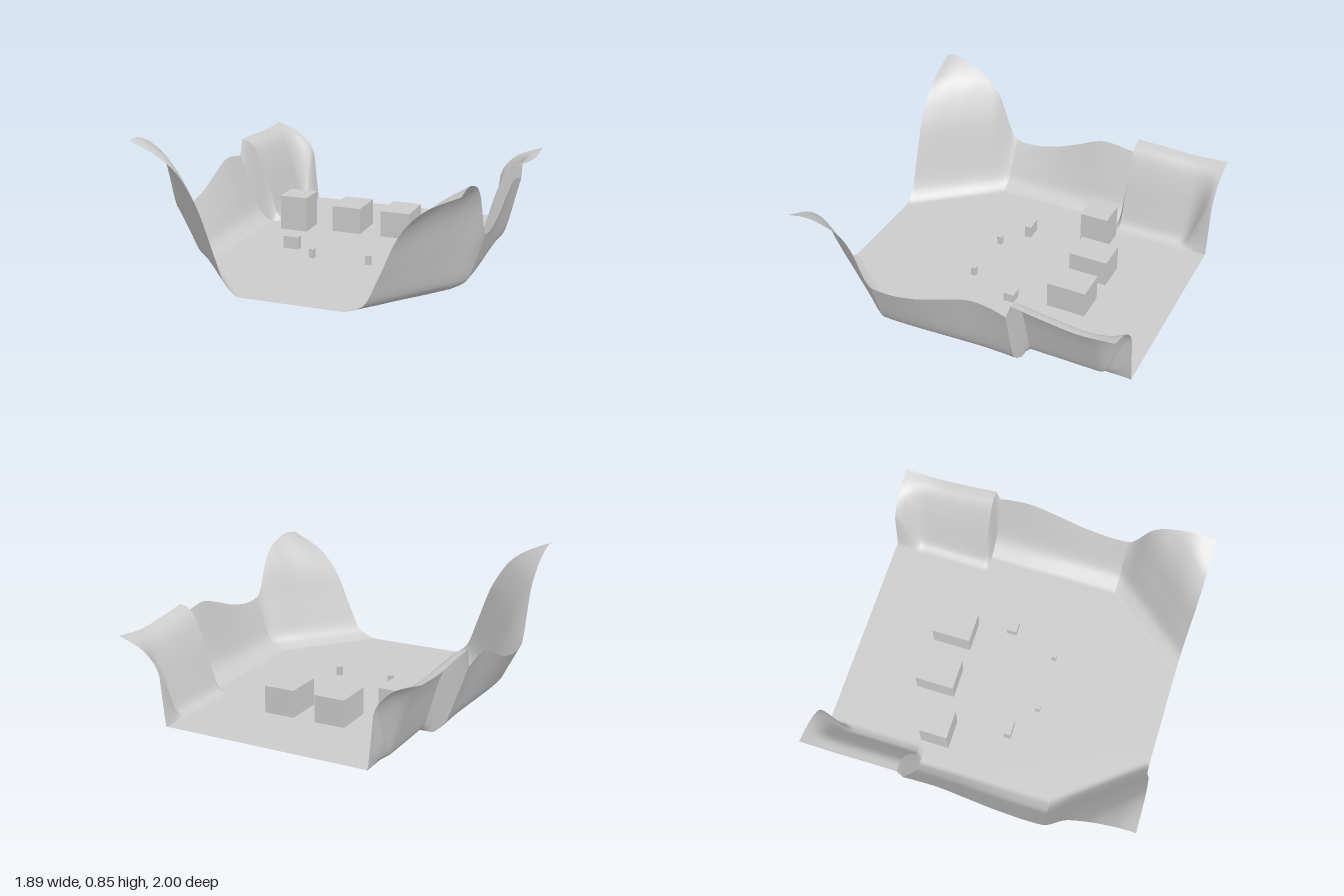
import * as THREE from 'three';

const HALF = 0.945, FLOOR = 0.013, SLANT = 0.81;
const Z_FRONT = 0.48, Z_MID = -0.37, Z_REAR = -0.4;

// smooth monotone curve through [x, y] points, clamped at the ends
function curve(p) {
  const n = p.length;
  const s = p.slice(1).map((q, i) => (q[1] - p[i][1]) / (q[0] - p[i][0]));
  const m = p.map((_, i) => {
    if (i === 0) return s[0];
    if (i === n - 1) return s[n - 2];
    const a = s[i - 1], b = s[i];
    return a * b <= 0 ? 0 : (2 * a * b) / (a + b);
  });
  return (x) => {
    if (x <= p[0][0]) return p[0][1];
    if (x >= p[n - 1][0]) return p[n - 1][1];
    let i = 0;
    while (x > p[i + 1][0]) i++;
    const h = p[i + 1][0] - p[i][0], t = (x - p[i][0]) / h, u = 1 - t;
    return p[i][1] * (1 + 2 * t) * u * u + p[i + 1][1] * (3 - 2 * t) * t * t
      + h * m[i] * t * u * u - h * m[i + 1] * t * t * u;
  };
}

// wing: cross-section at the front edge; edge: rim height along z; rear: rim height at the back
const left = {
  wing: curve([[0.32, 0], [0.42, 0.045], [0.51, 0.22], [0.6, 0.425], [0.665, 0.52], [0.765, 0.61], [HALF, 0.7]]),
  edge: curve([[-0.37, 0.445], [-0.3, 0.47], [-0.18, 0.487], [0, 0.44], [0.2, 0.37], [0.38, 0.342],
    [0.48, 0.35], [0.62, 0.61], [0.7, 0.675], [0.88, 0.717], [1, 0.7]]),
  rear: curve([[-1, 0.5], [-0.8, 0.483], [-0.6, 0.503], [-0.4, 0.533]]),
};
const right = {
  wing: curve([[0.32, 0], [0.39, 0.07], [0.45, 0.23], [0.55, 0.5], [0.68, 0.69], [0.8, 0.77], [HALF, 0.833]]),
  edge: curve([[-0.37, 0.43], [-0.18, 0.455], [0.03, 0.38], [0.2, 0.315], [0.38, 0.285],
    [0.48, 0.3], [0.62, 0.63], [0.7, 0.72], [0.8, 0.79], [0.95, 0.838], [1, 0.833]]),
  rear: curve([[-1, 0.527], [-0.8, 0.517], [-0.6, 0.527], [-0.4, 0.533]]),
};
// rear wall cross-sections as a fraction of the rim height
const rearSlope = curve([[0.64, 0], [0.69, 0.06], [0.73, 0.28], [0.79, 0.65], [0.85, 0.9], [0.89, 0.97], [HALF, 1]]);
const rearEnd = curve([[0.65, 0], [0.675, 0.6], [0.72, 0.76], [0.8, 0.89], [HALF, 1]]);

const sideOf = (x) => (x > 0 ? left : right);

// corner wings rise along a diagonal
function frontHeight(x, z) {
  const s = sideOf(x), shift = (z - 1) * SLANT;
  return s.wing(Math.abs(x) + shift) * s.edge(z) / s.wing(HALF + shift);
}
// low side walls keep one section and follow the wavy rim
function midHeight(x, z) {
  const s = sideOf(x);
  return frontHeight(x, Z_FRONT) * s.edge(z) / s.edge(Z_FRONT);
}
// thicker rear walls steepen towards the back edge
function rearHeight(x, z) {
  const ax = Math.abs(x);
  const k = THREE.MathUtils.smoothstep(-z, 0.83, 1);
  return sideOf(x).rear(z) * THREE.MathUtils.lerp(rearSlope(ax), rearEnd(ax), k);
}
// abrupt step joining side and rear walls
function stepHeight(x, z) {
  const t = (z - Z_REAR) / (Z_MID - Z_REAR);
  return THREE.MathUtils.lerp(rearHeight(x, Z_REAR), midHeight(x, Z_MID), t);
}

const material = new THREE.MeshStandardMaterial({ color: 0xcccccc, side: THREE.DoubleSide });

function patch(name, z0, z1, rows, height) {
  const geo = new THREE.PlaneGeometry(2 * HALF, z1 - z0, 126, rows);
  geo.rotateX(-Math.PI / 2).translate(0, 0, (z0 + z1) / 2);
  const p = geo.attributes.position;
  for (let i = 0; i < p.count; i++) p.setY(i, FLOOR + height(p.getX(i), p.getZ(i)));
  geo.computeVertexNormals();
  const mesh = new THREE.Mesh(geo, material);
  mesh.name = name;
  return mesh;
}

function block(name, x0, x1, z0, z1, y0, y1) {
  const mesh = new THREE.Mesh(new THREE.BoxGeometry(x1 - x0, y1 - y0, z1 - z0), material);
  mesh.position.set((x0 + x1) / 2, (y0 + y1) / 2, (z0 + z1) / 2);
  mesh.name = name;
  return mesh;
}

export function createModel() {
  const model = new THREE.Group();
  model.name = 'walledTerrain';

  // terrain strips from front to back
  model.add(
    patch('frontTerrain', Z_FRONT, 1, 26, frontHeight),
    patch('middleTerrain', Z_MID, Z_FRONT, 34, midHeight),
    patch('terrainStep', Z_REAR, Z_MID, 1, stepHeight),
    patch('rearTerrain', -1, Z_REAR, 30, rearHeight),
  );

  // blocks standing on the floor
  model.add(
    block('rightLargeBlock', -0.265, -0.073, -0.548, -0.303, 0, 0.18),
    block('leftLargeBlock', 0.066, 0.258, -0.548, -0.303, 0, 0.18),
    block('tallBlock', -0.595, -0.415, -0.408, -0.23, FLOOR, 0.237),
    block('smallBlock', 0.253, 0.328, -0.112, -0.048, FLOOR, 0.07),
    block('flatBlock', -0.422, -0.324, 0.08, 0.122, FLOOR, 0.09),
    block('rightPost', -0.2, -0.169, 0.217, 0.246, FLOOR, 0.07),
    block('leftPost', 0.161, 0.192, 0.217, 0.246, FLOOR, 0.07),
  );
  return model;
}
